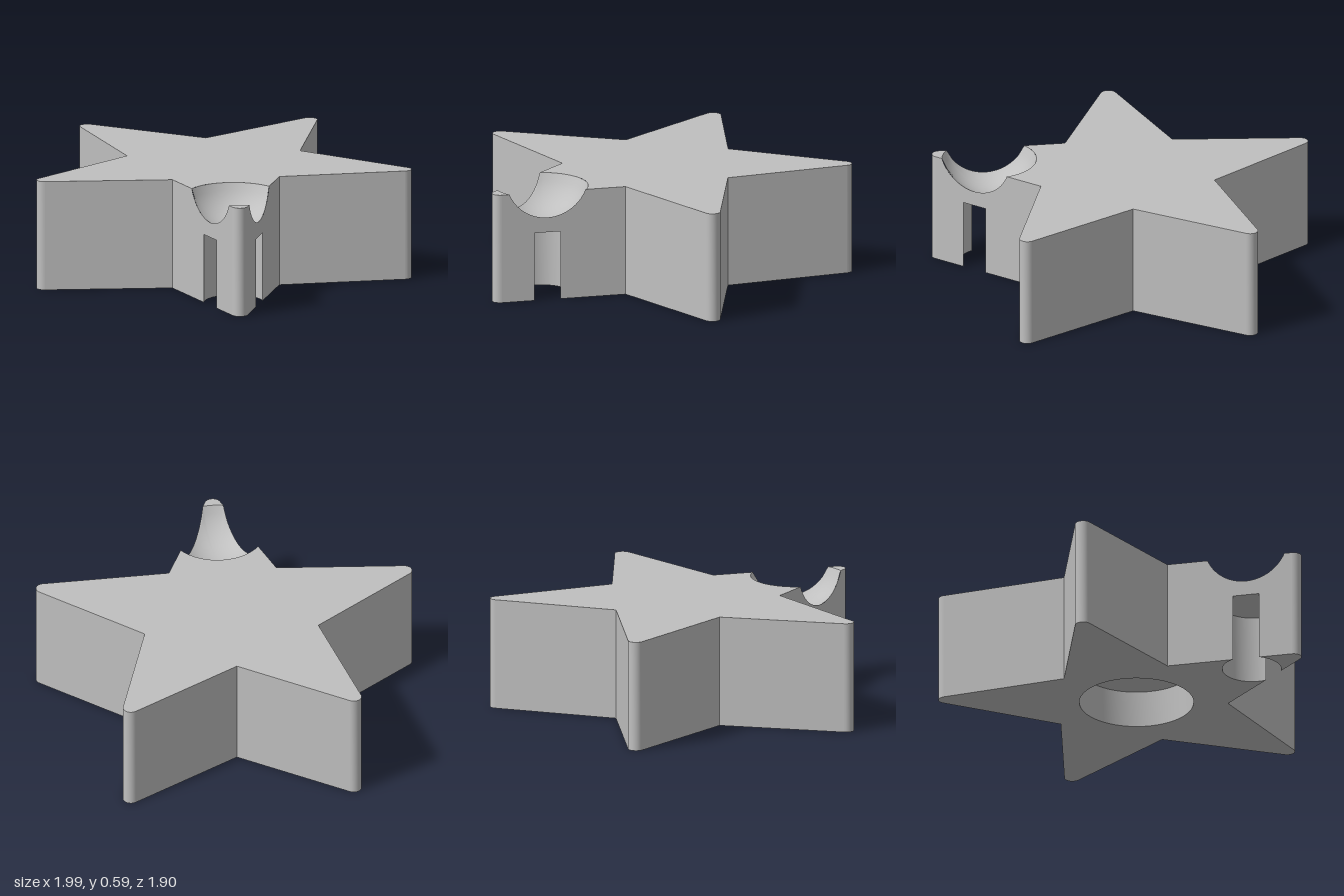
import * as THREE from 'three';
import { mergeVertices } from 'three/addons/utils/BufferGeometryUtils.js';

const HEIGHT = 0.59, CENTRE_Z = -0.097;
const VALLEY_R = 0.484, TIP_R = 1.12, ROUND = 0.042;   // star outline
const DISH_Z = 0.737, DISH_Y = 0.675, DISH_R = 0.264;  // ball-shaped cut
const SLOT_R = 0.156, SLOT_H = 0.37;                   // upright hole under the dish
const RECESS_R = 0.302, RECESS_H = 0.2;                // round pocket underneath
const { PI, sin, cos, acos, sqrt, min } = Math;

// Plan points use Vector2(x, z); every arm is described pointing to +z.
const v2 = (x, z) => new THREE.Vector2(x, z);
const valley = v2(VALLEY_R * sin(PI / 5), VALLEY_R * cos(PI / 5));
const lean = Math.atan2(valley.x, TIP_R - valley.y);
const roundZ = TIP_R - ROUND / sin(lean);
const normal = v2(cos(lean), sin(lean));
const dishCentre = v2(0, DISH_Z);

function arc(cz, r, from, to, n = 32) {
  return Array.from({ length: n + 1 }, (_, i) => {
    const a = from + (to - from) * i / n;
    return v2(r * cos(a), cz + r * sin(a));
  });
}
const tipArc = arc(roundZ, ROUND, lean, PI - lean, 14);
const tangent = tipArc[0];
const sideLength = tangent.distanceTo(valley);
const sideDist = tangent.clone().sub(dishCentre).dot(normal);
const dishTopR = sqrt(DISH_R ** 2 - (DISH_Y - HEIGHT) ** 2);

// Angles at which a circle round the dish centre meets the right side of the arm
function crossings(r) {
  const a = acos(sideDist / r);
  return { back: lean - a, front: lean + a };
}
const backArc = (r) => arc(DISH_Z, r, crossings(r).back, -PI - crossings(r).back, 40);
const frontArc = (r) => arc(DISH_Z, r, PI - crossings(r).front, crossings(r).front, 16);

// Star outline with the front arm cut off by a circle, and the leftover tip
function bodyOutline(r) {
  const pts = [];
  for (let k = 1; k < 5; k++) {
    for (const p of [valley, ...tipArc]) pts.push(p.clone().rotateAround(v2(0, 0), k * 2 * PI / 5));
  }
  return [...pts, valley, ...backArc(r)];
}
const tipOutline = (r) => [...tipArc, ...frontArc(r)];

// Flat horizontal face
function cap(points, y, up, hole) {
  const flip = (list) => list.map((p) => v2(p.x, up ? -p.y : p.y));
  const shape = new THREE.Shape(flip(points));
  if (hole) shape.holes.push(new THREE.Path(flip(hole)));
  return new THREE.ShapeGeometry(shape).rotateX(up ? -PI / 2 : PI / 2).translate(0, y, 0);
}

// Upright curved wall along plan points
function wall(points, y0, y1) {
  const pos = [], idx = [];
  points.forEach((p, i) => {
    pos.push(p.x, y0, p.y, p.x, y1, p.y);
    if (i) {
      const a = 2 * i - 2;
      idx.push(a, a + 1, a + 3, a, a + 3, a + 2);
    }
  });
  return build(pos, idx);
}

function build(pos, idx) {
  let geo = new THREE.BufferGeometry();
  geo.setAttribute('position', new THREE.Float32BufferAttribute(pos, 3));
  geo.setIndex(idx);
  geo = mergeVertices(geo, 1e-5);
  geo.computeVertexNormals();
  return geo;
}

// Disc round the dish centre, trimmed by both sides of the arm
function trimmedDisc(r, heightAt, up, rings) {
  const { back, front } = crossings(r);
  const stops = [back, front, PI - front, PI - back, 2 * PI + back];
  const angles = [];
  for (let i = 0; i < 4; i++) {
    for (let j = 0; j < 24; j++) angles.push(stops[i] + (stops[i + 1] - stops[i]) * j / 24);
  }
  const n = angles.length, pos = [0, heightAt(0), DISH_Z], idx = [];
  for (let k = 1; k <= rings; k++) {
    angles.forEach((a, j) => {
      const c1 = cos(a - lean), c2 = cos(PI - a - lean);
      const reach = min(r, c1 > 0 ? sideDist / c1 : r, c2 > 0 ? sideDist / c2 : r);
      const t = reach * k / rings;
      pos.push(t * cos(a), heightAt(t), DISH_Z + t * sin(a));
      const next = (j + 1) % n, o = 1 + (k - 1) * n;
      const tri = (p, q, s) => (up ? idx.push(p, s, q) : idx.push(p, q, s));
      if (k === 1) tri(0, o + j, o + next);
      else {
        tri(o - n + j, o + j, o + next);
        tri(o - n + j, o + next, o - n + next);
      }
    });
  }
  return build(pos, idx);
}

// Flat side of an arm, from tip to valley, with optional slot and dish cuts
function armSide(withCuts) {
  const s = new THREE.Shape();
  const dir = v2(sin(lean), -cos(lean));
  s.moveTo(0, 0);
  if (withCuts) {
    const mid = dishCentre.clone().sub(tangent).dot(dir);
    const half = sqrt(SLOT_R ** 2 - sideDist ** 2);
    s.lineTo(mid - half, 0).lineTo(mid - half, SLOT_H);
    s.lineTo(mid + half, SLOT_H).lineTo(mid + half, 0);
    s.lineTo(sideLength, 0).lineTo(sideLength, HEIGHT);
    const r = sqrt(DISH_R ** 2 - sideDist ** 2);
    const a = Math.asin((HEIGHT - DISH_Y) / r);
    s.lineTo(mid + r * cos(a), HEIGHT);
    s.absarc(mid, DISH_Y, r, a, -PI - a, true);
  } else {
    s.lineTo(sideLength, 0).lineTo(sideLength, HEIGHT);
  }
  s.lineTo(0, HEIGHT);
  const m = new THREE.Matrix4().makeBasis(
    new THREE.Vector3(dir.x, 0, dir.y),
    new THREE.Vector3(0, 1, 0),
    new THREE.Vector3(normal.x, 0, normal.y)
  ).setPosition(tangent.x, 0, tangent.y);
  return new THREE.ShapeGeometry(s, 40).applyMatrix4(m);
}

export function createModel() {
  const grey = new THREE.MeshStandardMaterial({ color: 0xc0c0c0 });
  grey.name = 'grey';
  const model = new THREE.Group();
  model.name = 'starHolder';
  const star = new THREE.Group();
  star.name = 'star';
  star.position.z = CENTRE_Z;
  model.add(star);
  const add = (name, geo, parent = star) => {
    const mesh = new THREE.Mesh(geo, grey);
    mesh.name = name;
    parent.add(mesh);
    return mesh;
  };

  // Five arms: two flat sides and a rounded tip each
  const plainSide = armSide(false), cutSide = armSide(true), tip = wall(tipArc, 0, HEIGHT);
  for (let k = 0; k < 5; k++) {
    const arm = new THREE.Group();
    arm.name = k ? 'arm' + k : 'frontArm';
    arm.rotation.y = k * 2 * PI / 5;
    const side = k ? plainSide : cutSide;
    add('leftSide', side, arm);
    add('rightSide', side, arm).scale.x = -1;
    add('roundedTip', tip, arm);
    star.add(arm);
  }

  // Top and bottom faces
  const recess = arc(0, RECESS_R, 2 * PI, 0, 72);
  const rim = recess.slice(0, -1);
  add('topFace', cap(bodyOutline(dishTopR), HEIGHT, true));
  add('topTipFace', cap(tipOutline(dishTopR), HEIGHT, true));
  add('bottomFace', cap(bodyOutline(SLOT_R), 0, false, rim));
  add('bottomTipFace', cap(tipOutline(SLOT_R), 0, false));

  // Ball-shaped dish in the front arm
  add('dish', trimmedDisc(dishTopR, (t) => DISH_Y - sqrt(DISH_R ** 2 - t * t), true, 14));

  // Upright slot below the dish
  add('slotBack', wall(backArc(SLOT_R), 0, SLOT_H));
  add('slotFront', wall(frontArc(SLOT_R), 0, SLOT_H));
  add('slotCeiling', trimmedDisc(SLOT_R, () => SLOT_H, false, 1));

  // Round recess in the underside
  add('recessWall', wall(recess, 0, RECESS_H));
  add('recessCeiling', cap(rim, RECESS_H, false));
  return model;
}
